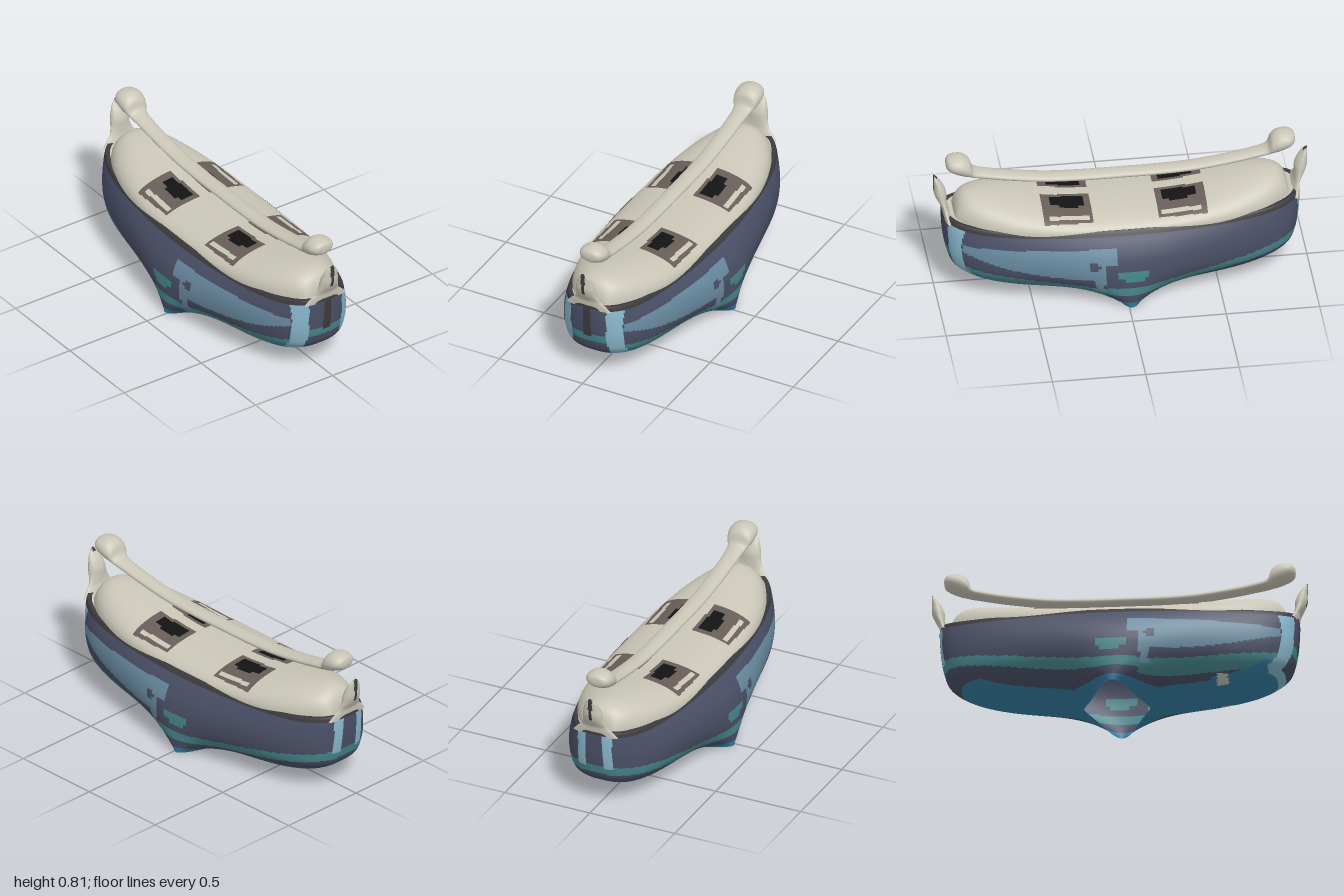
import * as THREE from 'three';

const COLORS = {
  cream: 0xc9c6b7, navy: 0x4a5067, panelBlue: 0x6a8ca2, paleBlue: 0x88b8cd, teal: 0x488a8f,
  seaBlue: 0x367fa5, charcoal: 0x3e3b3e, brown: 0x685d58, black: 0x131313,
};
const KEYS = Object.keys(COLORS);
const clamp = THREE.MathUtils.clamp;

// Smooth interpolation through rows of numbers, t from 0 to 1
function sample(rows, t) {
  const f = clamp(t, 0, 1) * (rows.length - 1);
  const i = Math.min(Math.floor(f), rows.length - 2), k = f - i;
  const at = (j) => rows[clamp(j, 0, rows.length - 1)];
  return rows[0].map((_, c) => {
    const [a, b, d, e] = [at(i - 1)[c], at(i)[c], at(i + 1)[c], at(i + 2)[c]];
    return b + 0.5 * k * (d - a + k * (2 * a - 5 * b + 4 * d - e + k * (3 * (b - d) + e - a)));
  });
}

// Lofted surface; every cell is put into the material group chosen by paint(x, y, z, u)
function loft(name, mats, nu, nv, closed, point, paint) {
  const pos = [], cols = closed ? nv : nv + 1;
  for (let i = 0; i <= nu; i++) for (let j = 0; j < cols; j++) pos.push(...point(i / nu, j / nv));
  const buckets = KEYS.map(() => []);
  for (let i = 0; i < nu; i++) for (let j = 0; j < nv; j++) {
    const j1 = closed ? (j + 1) % nv : j + 1;
    const a = i * cols + j, b = i * cols + j1, c = a + cols, d = b + cols;
    const mid = [0, 1, 2].map((k) => (pos[a * 3 + k] + pos[b * 3 + k] + pos[c * 3 + k] + pos[d * 3 + k]) / 4);
    buckets[KEYS.indexOf(paint(...mid, (i + 0.5) / nu))].push(a, c, b, b, c, d);
  }
  const geo = new THREE.BufferGeometry();
  geo.setAttribute('position', new THREE.Float32BufferAttribute(pos, 3));
  geo.setIndex(buckets.flat());
  let start = 0;
  buckets.forEach((b, m) => {
    if (b.length) geo.addGroup(start, b.length, m);
    start += b.length;
  });
  geo.computeVertexNormals();
  const mesh = new THREE.Mesh(geo, mats);
  mesh.name = name;
  return mesh;
}

// Hull layers: height, half length, half width, half width at the foot
const HULL = [
  [0, 0.175, 0, 0.372], [0.012, 0.24, 0.04, 0.374], [0.025, 0.38, 0.12, 0.376], [0.045, 0.56, 0.19, 0.379],
  [0.07, 0.7, 0.24, 0.382], [0.11, 0.82, 0.285, 0.385], [0.17, 0.905, 0.325, 0.388], [0.24, 0.935, 0.34, 0.387],
  [0.31, 0.948, 0.338, 0.372], [0.37, 0.955, 0.322, 0.345], [0.42, 0.957, 0.302, 0.313],
  [0.445, 0.952, 0.29, 0.295], [0.448, 0.94, 0.275, 0.28], [0.44, 0.85, 0.2, 0.2],
];
const sheer = (x, y) => 0.035 * Math.pow(Math.abs(x) / 0.95, 8) * THREE.MathUtils.smoothstep(y, 0.3, 0.44);

function hullPoint(u, v) {
  const [y, len, w, mid] = sample(HULL, u);
  const s = v * Math.PI * 2, sn = Math.sin(s), a = Math.abs(sn);
  const x = len * Math.cos(s);
  const bump = (mid - w) * Math.exp(-((x / (0.15 + y)) ** 2)) * a;
  const z = Math.sign(sn) * (w * Math.pow(a, 0.7) + bump);
  return [x - 0.015 * Math.max(0, 1 - y / 0.1), Math.max(0, y) + sheer(x, y), z];
}

// Painted pattern of the hull, the same on both sides
function hullPaint(x, y, z, u) {
  const az = Math.abs(z), ax = Math.abs(x);
  if (u > 0.94) return 'cream';
  if (y > 0.42 + sheer(x, 0.44)) return 'charcoal';
  // end bands
  if (x > 0.8 && az < 0.175 && y > 0.12) {
    if (az > 0.105 || y < 0.15) return 'paleBlue';
    if (az < 0.012 && y > 0.27) return 'charcoal';
    return y > 0.235 && y < 0.29 ? 'teal' : 'navy';
  }
  if (x < -0.85 && az > 0.05 && az < 0.1 && y > 0.25) return 'paleBlue';
  // foot and underside
  if (x > 0.53 && x < 0.59 && y < 0.09 && az > 0.13) return 'cream';
  if (ax < 0.22 && y < 0.035) return 'seaBlue';
  if (x > 0.5 ? az < 0.2 && y < 0.17 : az < 0.18 && y < 0.12) return 'seaBlue';
  // side panel with its stem and hole
  const low = x < 0.13 ? 0.28 : x < 0.18 ? 0.1 : 0.185 + 0.13 * ((x - 0.18) / 0.7) ** 2;
  if (x > 0.07 && x < 0.87 && y > low && y < 0.37 - 0.02 * x) {
    return Math.hypot(x - 0.185, y - 0.27) < 0.028 ? 'navy' : 'panelBlue';
  }
  // centre badge and long stripes
  if (Math.abs(x + 0.025) < (y < 0.195 ? 0.055 : 0.085) && y > 0.175 && y < 0.24) return 'teal';
  const stripe = x > 0.12 ? 0.085 + 0.11 * Math.pow(x / 0.95, 1.5)
    : x < -0.12 ? 0.1 + 0.14 * Math.pow(ax / 0.95, 1.3) : 0.11;
  return Math.abs(y - stripe) < (x > 0.12 ? 0.035 : 0.026) ? 'teal' : 'navy';
}

// Domed deck that rises towards both ends
function deckPoint(u, v) {
  const x = -0.895 * Math.cos(u * Math.PI), r = Math.abs(x), t = v * Math.PI;
  const w = 0.295 * Math.pow(1 - Math.pow(r / 0.93, 3), 0.55);
  const round = Math.sqrt(Math.max(0, 1 - Math.pow(r / 0.895, 24)));
  const top = 0.52 + 0.075 * THREE.MathUtils.smoothstep(r, 0.15, 0.88);
  const base = 0.425 + sheer(x, 0.44);
  return [x, base + (top - base) * round * Math.pow(Math.sin(t) + 1e-9, 0.85), w * Math.cos(t)];
}

// Hatches: brown frame, pale slot and black opening
function deckPaint(x, y, z) {
  const dx = Math.abs(Math.abs(x) - 0.3), az = Math.abs(z);
  if (dx > 0.13 || az < 0.035 || az > 0.25) return 'cream';
  if (dx < 0.085 && az > 0.055 && az < (dx < 0.05 ? 0.145 : 0.125)) return 'black';
  return dx < 0.1 && az > 0.203 && az < 0.228 ? 'cream' : 'brown';
}

// Rail from centre to knob: x, lower y, upper y, half width
const RAIL = [
  [0, 0.6, 0.642, 0.045], [0.2, 0.6, 0.643, 0.045], [0.4, 0.61, 0.652, 0.045], [0.6, 0.637, 0.68, 0.045],
  [0.72, 0.66, 0.704, 0.046], [0.785, 0.674, 0.725, 0.052], [0.81, 0.68, 0.78, 0.066], [0.85, 0.692, 0.807, 0.075],
  [0.9, 0.715, 0.806, 0.07], [0.928, 0.735, 0.792, 0.045], [0.935, 0.762, 0.764, 0.002],
];
function railPoint(u, v) {
  const side = u * 2 - 1, t = v * Math.PI * 2;
  const [x, lo, hi, w] = sample(RAIL, Math.abs(side));
  return [Math.sign(side) * x, (lo + hi) / 2 + (hi - lo) / 2 * Math.sin(t), w * Math.cos(t)];
}

// Upright end fin: y, inner x, outer x, half width
const FIN = [
  [0.45, 0.905, 0.952, 0.13], [0.485, 0.92, 0.957, 0.1], [0.51, 0.928, 0.962, 0.075], [0.55, 0.93, 0.985, 0.06],
  [0.59, 0.932, 0.999, 0.055], [0.63, 0.948, 1, 0.046], [0.665, 0.972, 1, 0.032], [0.695, 0.996, 1, 0.003],
];
function finPoint(u, v) {
  const [y, inner, outer, w] = sample(FIN, u), s = v * Math.PI * 2;
  return [(inner + outer) / 2 + (outer - inner) / 2 * Math.cos(s), y, w * Math.sin(s)];
}
const finPaint = (x, y, z) => (Math.abs(z) < 0.011 && y > 0.56 && x > 0.98 ? 'charcoal' : 'cream');

export function createModel() {
  const mats = KEYS.map((name) => {
    const m = new THREE.MeshStandardMaterial({ color: COLORS[name], side: THREE.DoubleSide });
    m.name = name;
    return m;
  });
  const model = new THREE.Group();
  model.name = 'roundedVessel';
  model.add(loft('hull', mats, 110, 280, true, hullPoint, hullPaint));
  model.add(loft('deck', mats, 160, 90, false, deckPoint, deckPaint));
  model.add(loft('topRail', mats, 120, 28, true, railPoint, () => 'cream'));
  for (const side of [1, -1]) {
    const fin = loft(side > 0 ? 'leftEndFin' : 'rightEndFin', mats, 30, 40, true, finPoint, finPaint);
    fin.scale.x = side;
    model.add(fin);
  }
  return model;
}
